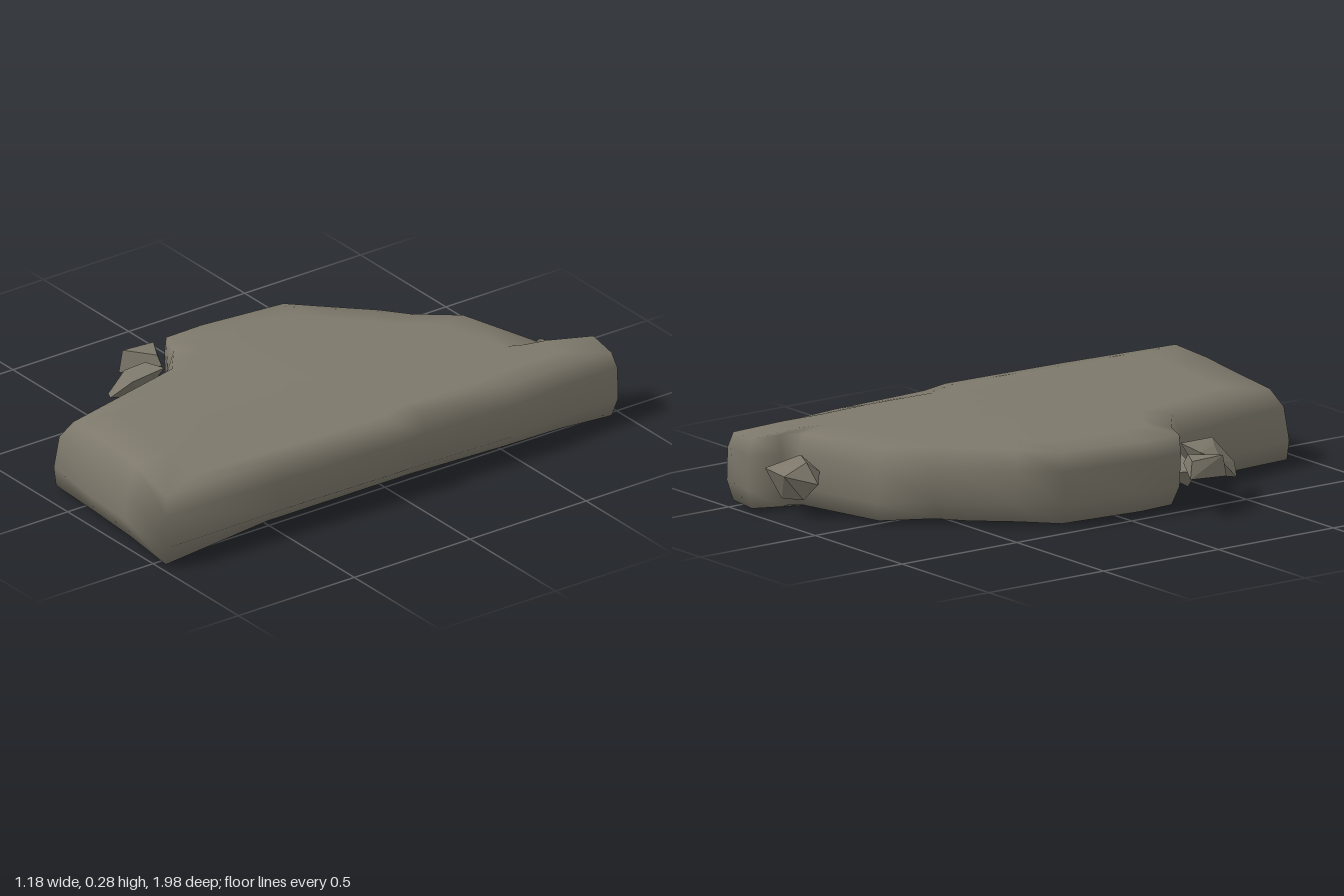
import * as THREE from 'three';
import { ConvexGeometry } from 'three/addons/geometries/ConvexGeometry.js';

// Slab outline: x, z, top bevel inset, bottom bevel inset, height of top edge
const OUTLINE = [
  [0.39, -1.0, 0.03, 0.03, 0.26], [0.56, -0.97, 0.03, 0.03, 0.255], [0.57, -0.75, 0.04, 0.06, 0.26],
  [0.595, -0.5, 0.05, 0.09, 0.265], [0.585, -0.12, 0.05, 0.1, 0.275], [0.585, 0.0, 0.015, 0.1, 0.275],
  [0.575, 0.5, 0.02, 0.09, 0.275], [0.565, 0.99, 0.03, 0.02, 0.27], [0.3, 0.98, 0.05, 0.03, 0.28],
  [0.07, 0.965, 0.07, 0.03, 0.275], [-0.18, 0.93, 0.07, 0.01, 0.262], [-0.23, 0.65, 0.05, 0.04, 0.268],
  [-0.29, 0.39, 0.05, 0.1, 0.27], [-0.38, 0.3, 0.03, 0.1, 0.265], [-0.47, 0.24, 0.01, 0.04, 0.265],
  [-0.475, 0.08, 0.01, 0.03, 0.265], [-0.445, -0.25, 0.02, 0.03, 0.268], [-0.34, -0.38, 0.04, 0.05, 0.27],
  [-0.23, -0.52, 0.06, 0.06, 0.27], [-0.14, -0.59, 0.06, 0.06, 0.27], [-0.02, -0.76, 0.07, 0.04, 0.265],
  [0.33, -0.83, 0.04, 0.03, 0.262], [0.35, -0.88, 0.03, 0.03, 0.262],
];
const CENTRE = [0.2, 0.0];

// Rings from underside to top: bevelled walls with smooth normals
function slabGeometry() {
  const n = OUTLINE.length;
  const normals = OUTLINE.map((p, i) => {
    const a = OUTLINE[(i + n - 1) % n], b = OUTLINE[(i + 1) % n];
    return new THREE.Vector2(b[1] - a[1], a[0] - b[0]).normalize();
  });
  const ring = (inset, height, scale = 1) => OUTLINE.map((p, i) => {
    const d = inset(p);
    const x = p[0] - normals[i].x * d, z = p[1] - normals[i].y * d;
    return [CENTRE[0] + (x - CENTRE[0]) * scale, height(p), CENTRE[1] + (z - CENTRE[1]) * scale];
  });
  const rings = [
    ring(p => p[3], () => 0.0, 0.82),
    ring(p => p[3], () => 0.01),
    ring(p => p[3] * 0.2, () => 0.08),
    ring(p => p[2] * 0.3, () => 0.2),
    ring(p => p[2], p => p[4]),
    ring(p => p[2], () => 0.28, 0.82),
  ];
  const pos = rings.flat(2);
  const index = [];
  for (let r = 0; r < rings.length - 1; r++) {
    for (let i = 0; i < n; i++) {
      const j = (i + 1) % n;
      const a = r * n + i, b = r * n + j, c = a + n, d = b + n;
      index.push(a, c, d, a, d, b);
    }
  }
  // Close the underside and the top with fans
  const low = rings.length * n, high = low + 1, last = (rings.length - 1) * n;
  pos.push(CENTRE[0], 0.0, CENTRE[1], CENTRE[0], 0.282, CENTRE[1]);
  for (let i = 0; i < n; i++) {
    const j = (i + 1) % n;
    index.push(low, i, j, high, last + j, last + i);
  }
  const g = new THREE.BufferGeometry();
  g.setAttribute('position', new THREE.Float32BufferAttribute(pos, 3));
  g.setIndex(index);
  g.computeVertexNormals();
  return g;
}

// Loose angular stones, each the hull of a few corners
const STONES = {
  backStone: [
    [0.155, 0.13, -0.87], [0.22, 0.16, -0.97], [0.33, 0.17, -0.97], [0.34, 0.12, -0.9], [0.31, 0.2, -0.83],
    [0.24, 0.15, -0.8], [0.21, 0.2, -0.88], [0.2, 0.07, -0.9], [0.3, 0.06, -0.92], [0.28, 0.07, -0.82],
  ],
  outerShard: [
    [-0.6, 0.14, 0.18], [-0.46, 0.16, 0.255], [-0.57, 0.12, 0.36], [-0.575, 0.2, 0.34],
    [-0.57, 0.195, 0.21], [-0.49, 0.11, 0.26], [-0.48, 0.195, 0.26],
  ],
  frontStone: [
    [-0.51, 0.16, 0.38], [-0.51, 0.09, 0.45], [-0.47, 0.19, 0.32], [-0.37, 0.205, 0.31], [-0.355, 0.2, 0.46],
    [-0.43, 0.12, 0.5], [-0.42, 0.095, 0.36], [-0.42, 0.19, 0.42],
  ],
  innerShard: [
    [-0.43, 0.11, 0.34], [-0.29, 0.155, 0.36], [-0.25, 0.12, 0.38], [-0.26, 0.07, 0.4],
    [-0.36, 0.04, 0.35], [-0.34, 0.1, 0.25],
  ],
};

export function createModel() {
  const group = new THREE.Group();
  group.name = 'rockSlab';
  const stone = new THREE.MeshStandardMaterial({ color: 0x7d786b });
  stone.name = 'greyStone';
  const add = (name, geometry) => {
    const mesh = new THREE.Mesh(geometry, stone);
    mesh.name = name;
    group.add(mesh);
  };
  add('slab', slabGeometry());
  for (const [name, corners] of Object.entries(STONES)) {
    add(name, new ConvexGeometry(corners.map(c => new THREE.Vector3(...c))));
  }
  return group;
}
